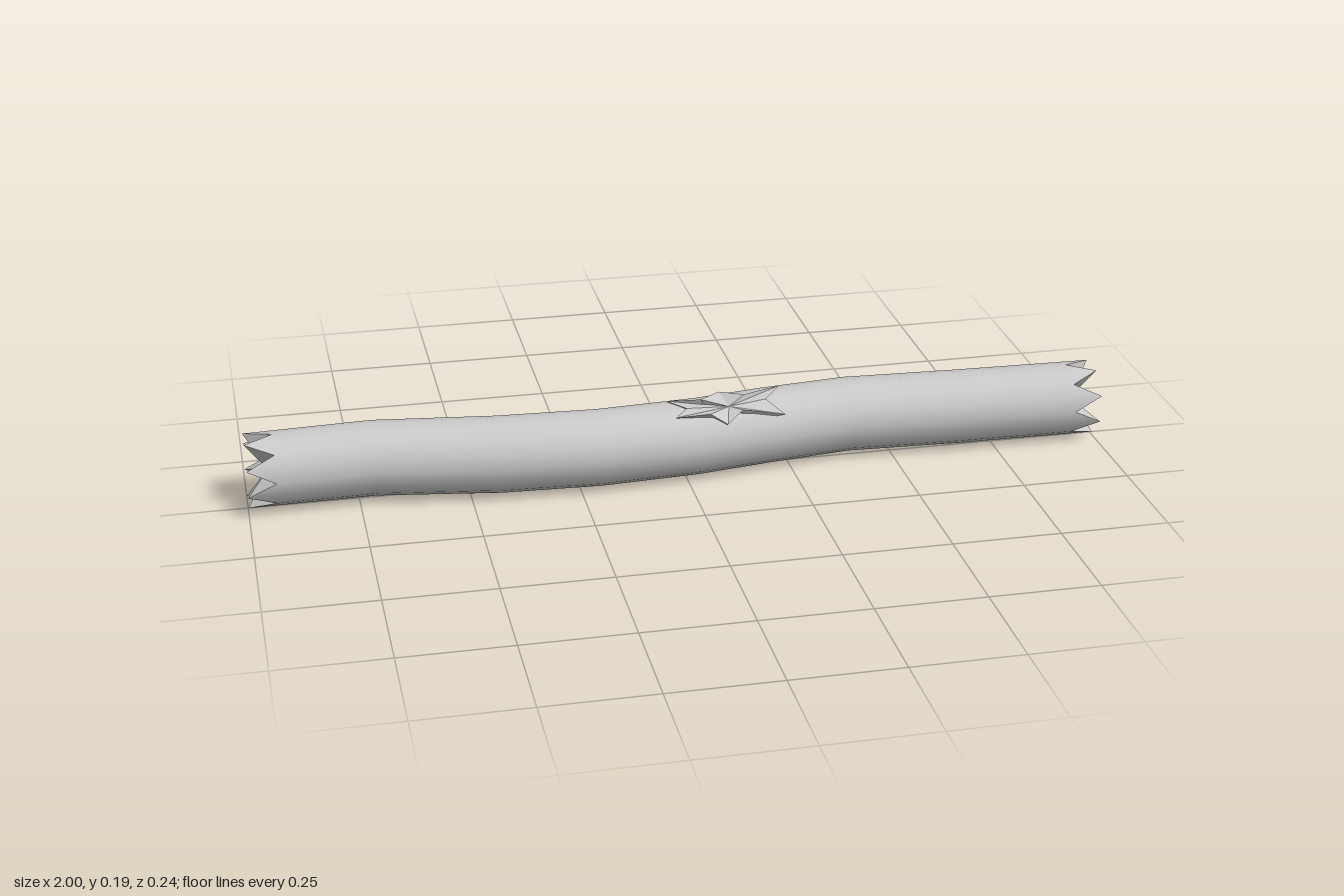
import * as THREE from 'three';

const SIDES = 16;
const CY = 0.09;
// Centre line of the log: x, z, radius
const SPINE = [
  [-0.965, -0.01, 0.084], [-0.71, -0.02, 0.086], [-0.43, 0.02, 0.088], [-0.2, 0.031, 0.088],
  [0.03, 0.016, 0.088], [0.2, -0.011, 0.088], [0.4, -0.035, 0.087], [0.68, -0.022, 0.087], [0.965, -0.016, 0.086],
];

// Rim point; the two end rings zigzag along x to form splintered teeth
function ringPoint(i, j) {
  const [x, z, r] = SPINE[i];
  const a = (j / SIDES) * Math.PI * 2;
  const end = i === 0 ? -1 : i === SPINE.length - 1 ? 1 : 0;
  const tooth = end * (j % 2 ? 0.035 : -0.03);
  return [x + tooth, CY + r * Math.sin(a), z + r * Math.cos(a)];
}

function geometryFrom(points, index) {
  const g = new THREE.BufferGeometry();
  g.setAttribute('position', new THREE.Float32BufferAttribute(points.flat(), 3));
  g.setIndex(index);
  g.computeVertexNormals();
  return g;
}

// Closed rim joined to a single hub point
function fan(rim, hub) {
  const index = [];
  rim.forEach((_, j) => index.push(j, (j + 1) % rim.length, rim.length));
  return geometryFrom([...rim, hub], index);
}

export function createModel() {
  const group = new THREE.Group();
  const smooth = new THREE.MeshStandardMaterial({ color: 0xcccccc });
  const splinter = new THREE.MeshStandardMaterial({ color: 0xcccccc, flatShading: true, side: THREE.DoubleSide });
  const add = (name, geometry, material) => {
    const mesh = new THREE.Mesh(geometry, material);
    mesh.name = name;
    group.add(mesh);
  };

  // Bent bark tube
  const points = [], index = [];
  SPINE.forEach((_, i) => {
    for (let j = 0; j < SIDES; j++) {
      points.push(ringPoint(i, j));
      if (i === 0) continue;
      const k = (j + 1) % SIDES;
      const a = (i - 1) * SIDES + j, b = (i - 1) * SIDES + k;
      index.push(a, a + SIDES, b, b, a + SIDES, b + SIDES);
    }
  });
  const bark = geometryFrom(points, index);
  // Radial normals keep the zigzag rims evenly shaded
  const normal = bark.attributes.normal;
  for (const i of [0, SPINE.length - 1]) {
    for (let j = 0; j < SIDES; j++) {
      const a = (j / SIDES) * Math.PI * 2;
      normal.setXYZ(i * SIDES + j, 0, Math.sin(a), Math.cos(a));
    }
  }
  add('bark', bark, smooth);

  // Splintered end caps, sunk toward the middle
  for (const [name, i, x] of [['rightEnd', 0, -0.95], ['leftEnd', SPINE.length - 1, 0.95]]) {
    const rim = Array.from({ length: SIDES }, (_, j) => ringPoint(i, j));
    add(name, fan(rim, [x, CY, SPINE[i][1]]), splinter);
  }

  // Snapped-off branch: a jagged star lying on the upper front of the log
  const star = [
    [-0.04, 0.182, 0.01], [0.035, 0.189, 0.033], [0.09, 0.181, -0.02], [0.14, 0.189, 0.025],
    [0.235, 0.184, -0.02], [0.19, 0.176, 0.032], [0.23, 0.146, 0.06], [0.13, 0.167, 0.062],
    [0.09, 0.143, 0.082], [0.05, 0.17, 0.077], [-0.03, 0.164, 0.068], [0, 0.178, 0.052],
  ];
  add('branchBreak', fan(star, [0.1, 0.171, 0.045]), splinter);
  add('branchStub', fan(star, [0.08, 0.11, 0.03]), splinter);

  return group;
}
